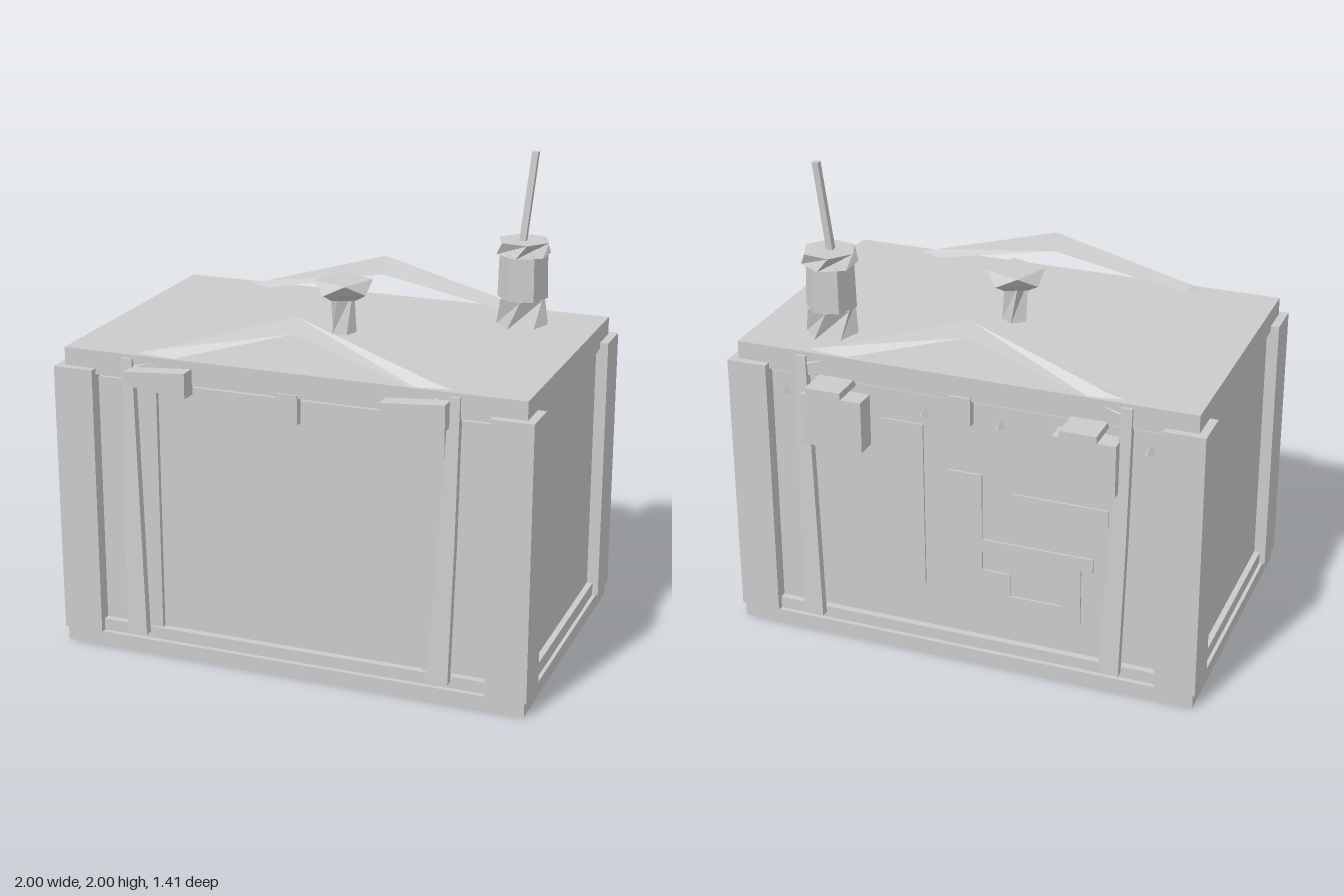
import * as THREE from 'three';

const mat = new THREE.MeshStandardMaterial({ color: 0xcccccc, flatShading: true, side: THREE.DoubleSide });
const MID_Z = 0.03; // centre of the crate in z

function add(parent, name, geometry) {
  const mesh = new THREE.Mesh(geometry, mat);
  mesh.name = name;
  parent.add(mesh);
  return mesh;
}

// Box given by its limits
function box(parent, name, x0, x1, y0, y1, z0, z1) {
  const g = new THREE.BoxGeometry(x1 - x0, y1 - y0, z1 - z0);
  g.translate((x0 + x1) / 2, (y0 + y1) / 2, (z0 + z1) / 2);
  return add(parent, name, g);
}

// Skin over rings of [x, y, z] points, capped at both ends
function loft(rings) {
  const n = rings[0].length, idx = [];
  for (let i = 0; i < rings.length - 1; i++) {
    for (let j = 0; j < n; j++) {
      const a = i * n + j, b = i * n + (j + 1) % n;
      idx.push(a, b, b + n, a, b + n, a + n);
    }
  }
  const last = (rings.length - 1) * n;
  for (let j = 1; j < n - 1; j++) idx.push(0, j + 1, j, last, last + j, last + j + 1);
  const g = new THREE.BufferGeometry();
  g.setAttribute('position', new THREE.Float32BufferAttribute(rings.flat(2), 3));
  g.setIndex(idx);
  const flat = g.toNonIndexed();
  flat.computeVertexNormals();
  return flat;
}

// Stack of twisted polygons: levels are [y, radius, twist]
function facetedPost(sides, levels) {
  return loft(levels.map(([y, r, twist]) => Array.from({ length: sides }, (_, j) => {
    const t = twist + j / sides * Math.PI * 2;
    return [r * Math.cos(t), y, -r * Math.sin(t)];
  })));
}

// Carry handle, straps and centre latch, the same on front and back
function addFittings(parent) {
  const section = (x, inner, top, outer) => [inner, top, outer].map(([y, z]) => [x, y, z]);
  const end = [[1.23, 0.59], [1.27, 0.6], [1.22, 0.64]];
  const bend = [[1.27, 0.55], [1.295, 0.6], [1.25, 0.635]];
  const peak = [[1.4, 0.505], [1.475, 0.535], [1.41, 0.56]];
  add(parent, 'carryHandle', loft([
    section(-0.68, ...end), section(-0.58, ...bend), section(0, ...peak),
    section(0.58, ...bend), section(0.68, ...end)]));

  const levels = [[0.1, 0.605, 0.69, 0.665, 0.7], [0.7, 0.635, 0.7, 0.635, 0.67], [1.26, 0.66, 0.705, 0.615, 0.648]];
  for (const s of [-1, 1]) {
    add(parent, 'strap', loft(levels.map(([y, a, b, z0, z1]) => {
      const x0 = Math.min(s * a, s * b), x1 = Math.max(s * a, s * b);
      return [[x1, y, z1], [x1, y, z0], [x0, y, z0], [x0, y, z1]];
    })));
  }
  box(parent, 'centreLatch', -0.045, 0.045, 1.07, 1.19, 0.6, 0.645);
}

export function createModel() {
  const model = new THREE.Group();
  model.name = 'crate';

  // Shell
  box(model, 'base', -0.99, 0.99, 0, 0.06, -0.6, 0.66);
  box(model, 'body', -0.95, 0.95, 0.06, 1.16, -0.55, 0.61);
  box(model, 'lid', -0.965, 0.965, 1.175, 1.275, -0.575, 0.635);
  for (const s of [-1, 1]) {
    const [a, b] = s > 0 ? [0.83, 1] : [-1, -0.83];
    box(model, 'cornerPost', a, b, 0.06, 1.2, 0.5, 0.667);
    box(model, 'cornerPost', a, b, 0.06, 1.2, -0.607, -0.435);
    const [c, d] = s > 0 ? [0.94, 0.975] : [-0.975, -0.94];
    box(model, 'sideBottomRail', c, d, 0.06, 0.115, -0.435, 0.5);
    const [e, f] = s > 0 ? [0.93, 0.955] : [-0.955, -0.93];
    box(model, 'sideTopRail', e, f, 1.155, 1.19, -0.435, 0.5);
    const [p, q] = s > 0 ? [0.565, 0.64] : [-0.64, -0.565];
    box(model, 'frontStile', p, q, 0.11, 1.16, 0.6, 0.63);
  }
  box(model, 'frontBottomRail', -0.83, 0.83, 0.06, 0.11, 0.6, 0.64);
  box(model, 'backBottomRail', -0.83, 0.83, 0.06, 0.11, -0.58, -0.54);

  // Fittings on both long sides
  const front = new THREE.Group();
  front.name = 'frontFittings';
  addFittings(front);
  const back = new THREE.Group();
  back.name = 'backFittings';
  addFittings(back);
  back.rotation.y = Math.PI;
  back.position.z = 2 * MID_Z;
  model.add(front, back);

  // Wedge clips on the front
  for (const x of [-0.665, 0.405]) {
    const ring = (px, y0, y1, z0, z1) => [[px, y0, z0], [px, y1, z0], [px, y1, z1], [px, y0, z1]];
    add(model, 'frontClip', loft([ring(x, 1.17, 1.225, 0.63, 0.705), ring(x + 0.26, 1.14, 1.245, 0.63, 0.705)]));
  }

  // Hinge blocks and their plates on the back
  for (const x of [-0.53, 0.53]) {
    box(model, 'hingeBlock', x - 0.13, x + 0.13, 0.9, 1.12, -0.64, -0.55);
    box(model, 'hingePlate', x - 0.075, x + 0.075, 1.155, 1.185, -0.71, -0.56);
  }

  // Low relief plates on the back: x0, x1, y0, y1
  const plates = [
    [0.17, 0.35, 0.3, 1.03], [-0.08, 0.07, 0.35, 0.85], [-0.61, -0.21, 0.72, 0.79],
    [-0.55, -0.08, 0.5, 0.56], [-0.2, -0.08, 0.25, 0.42], [-0.5, -0.2, 0.25, 0.32],
    [-0.5, -0.42, 0.32, 0.5]];
  for (const [x0, x1, y0, y1] of plates) box(model, 'reliefPlate', x0, x1, y0, y1, -0.558, -0.54);

  // Small studs along the back edge
  for (const x of [-0.77, -0.16, 0.16, 0.77]) {
    const stud = add(model, 'stud', new THREE.ConeGeometry(0.03, 0.05, 3));
    stud.rotation.x = -Math.PI / 2;
    stud.position.set(x, 1.08, -0.57);
  }

  // Knob on the lid
  const knob = new THREE.Group();
  knob.name = 'knob';
  add(knob, 'knobStem', facetedPost(5, [[1.27, 0.055, 0.3], [1.45, 0.052, 0.9]]));
  add(knob, 'knobCap', facetedPost(4, [[1.42, 0.07, 1.2], [1.45, 0.122, 1.2], [1.497, 0.122, 0.42]]));
  knob.position.z = 0.033;
  model.add(knob);

  // Aerial with its mount
  const aerial = new THREE.Group();
  aerial.name = 'aerial';
  add(aerial, 'aerialFoot', facetedPost(6, [[1.27, 0.108, 0.2], [1.39, 0.1, 0.7]]));
  add(aerial, 'aerialMount', facetedPost(6, [[1.39, 0.105, 0.2], [1.585, 0.1, 0.2]]));
  add(aerial, 'aerialCollar', facetedPost(6, [[1.575, 0.115, 0.5], [1.632, 0.112, 0.9]]));
  const rodRing = (x, y, z, r) => [[x + r, y, z + r], [x + r, y, z - r], [x - r, y, z - r], [x - r, y, z + r]];
  add(aerial, 'aerialRod', loft([rodRing(-0.005, 1.6, 0.01, 0.014), rodRing(0.035, 2, -0.015, 0.013)]));
  aerial.position.set(0.65, 0, -0.35);
  model.add(aerial);

  return model;
}
